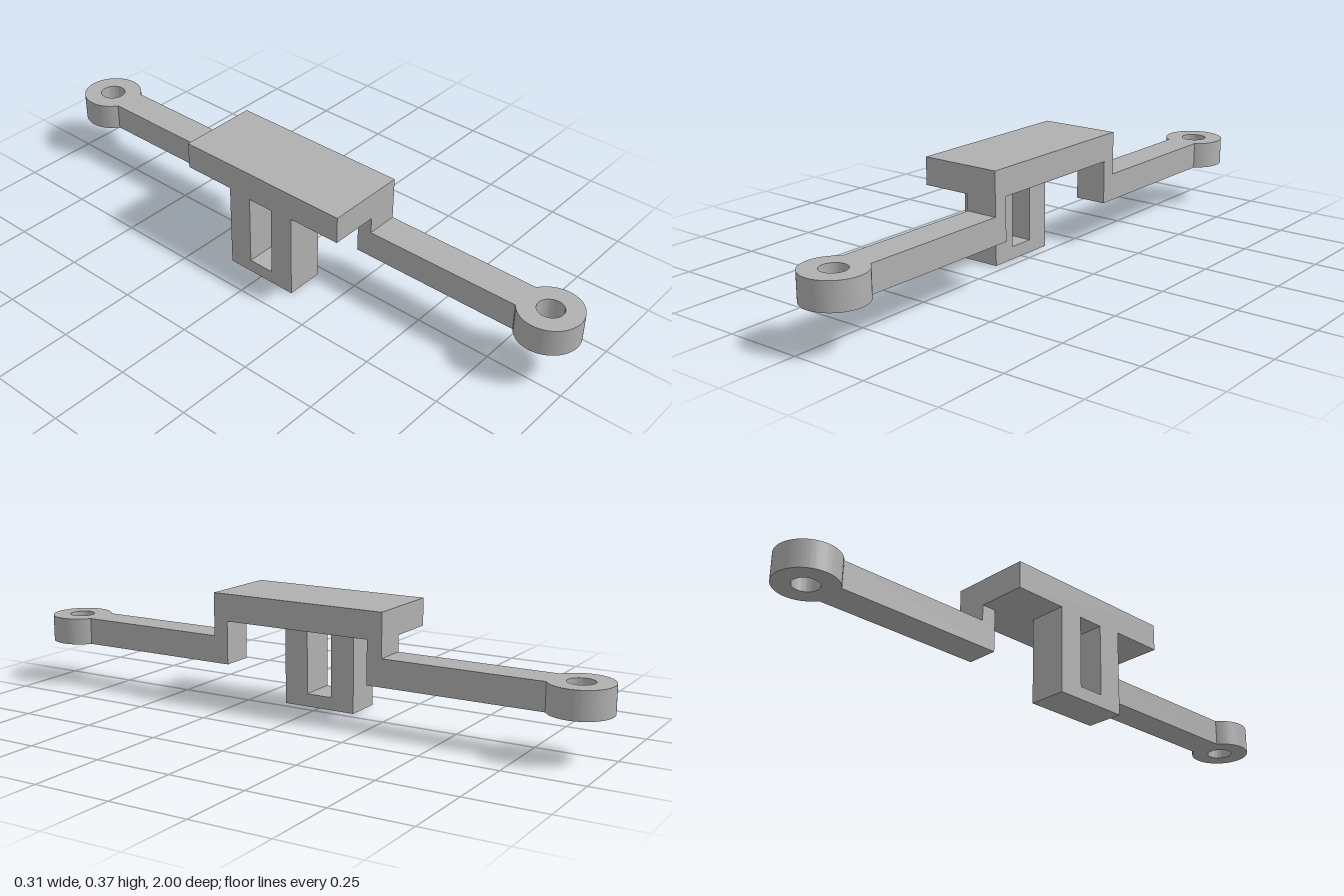
import * as THREE from 'three';
import { toCreasedNormals } from 'three/addons/utils/BufferGeometryUtils.js';

export function createModel() {
  const model = new THREE.Group();
  model.name = 'mountingBracket';
  const grey = new THREE.MeshStandardMaterial({ color: 0xb0b0b0 });
  grey.name = 'grey';

  const add = (parent, name, geometry) => {
    const mesh = new THREE.Mesh(geometry, grey);
    mesh.name = name;
    parent.add(mesh);
  };
  // Box given by its limits on each axis
  const box = (x0, x1, y0, y1, z0, z1) =>
    new THREE.BoxGeometry(x1 - x0, y1 - y0, z1 - z0)
      .translate((x0 + x1) / 2, (y0 + y1) / 2, (z0 + z1) / 2);

  // Raised top plate
  add(model, 'topPlate', box(-0.158, 0.11, 0.282, 0.37, -0.303, 0.303));

  // Hanging post with a rectangular slot running along x
  const frame = new THREE.Shape();
  frame.moveTo(-0.126, 0).lineTo(0.126, 0).lineTo(0.126, 0.282).lineTo(-0.126, 0.282).closePath();
  const slot = new THREE.Path();
  slot.moveTo(-0.044, 0.042).lineTo(-0.044, 0.276).lineTo(0.044, 0.276).lineTo(0.044, 0.042).closePath();
  frame.holes.push(slot);
  const post = new THREE.ExtrudeGeometry(frame, { depth: 0.125, bevelEnabled: false });
  post.rotateY(Math.PI / 2).translate(-0.158, 0, 0);
  add(model, 'slottedPost', post);

  // Arm outline in plan: straight bar running into a round eyelet
  const half = 0.053, radius = 0.098, eyeZ = 0.902, inner = 0.253;
  const neck = Math.asin(half / radius);
  const outline = new THREE.Shape();
  outline.moveTo(-half, inner).lineTo(half, inner);
  outline.absarc(0, eyeZ, radius, -Math.PI / 2 + neck, Math.PI * 1.5 - neck, false);
  outline.closePath();
  outline.holes.push(new THREE.Path().absarc(0, eyeZ, 0.041, 0, Math.PI * 2, true));
  const armGeometry = toCreasedNormals(
    new THREE.ExtrudeGeometry(outline, { depth: 0.088, bevelEnabled: false, curveSegments: 40 })
      .rotateX(Math.PI / 2).translate(0, 0.23, 0), 0.5);
  const riserGeometry = box(-half, half, 0.23, 0.282, inner, 0.303);

  // Matching arms at front and back
  for (const [name, turn] of [['frontArm', 0], ['backArm', Math.PI]]) {
    const arm = new THREE.Group();
    arm.name = name;
    add(arm, name + 'Bar', armGeometry);
    add(arm, name + 'Riser', riserGeometry);
    arm.position.x = 0.057;
    arm.rotation.y = turn;
    model.add(arm);
  }
  return model;
}
